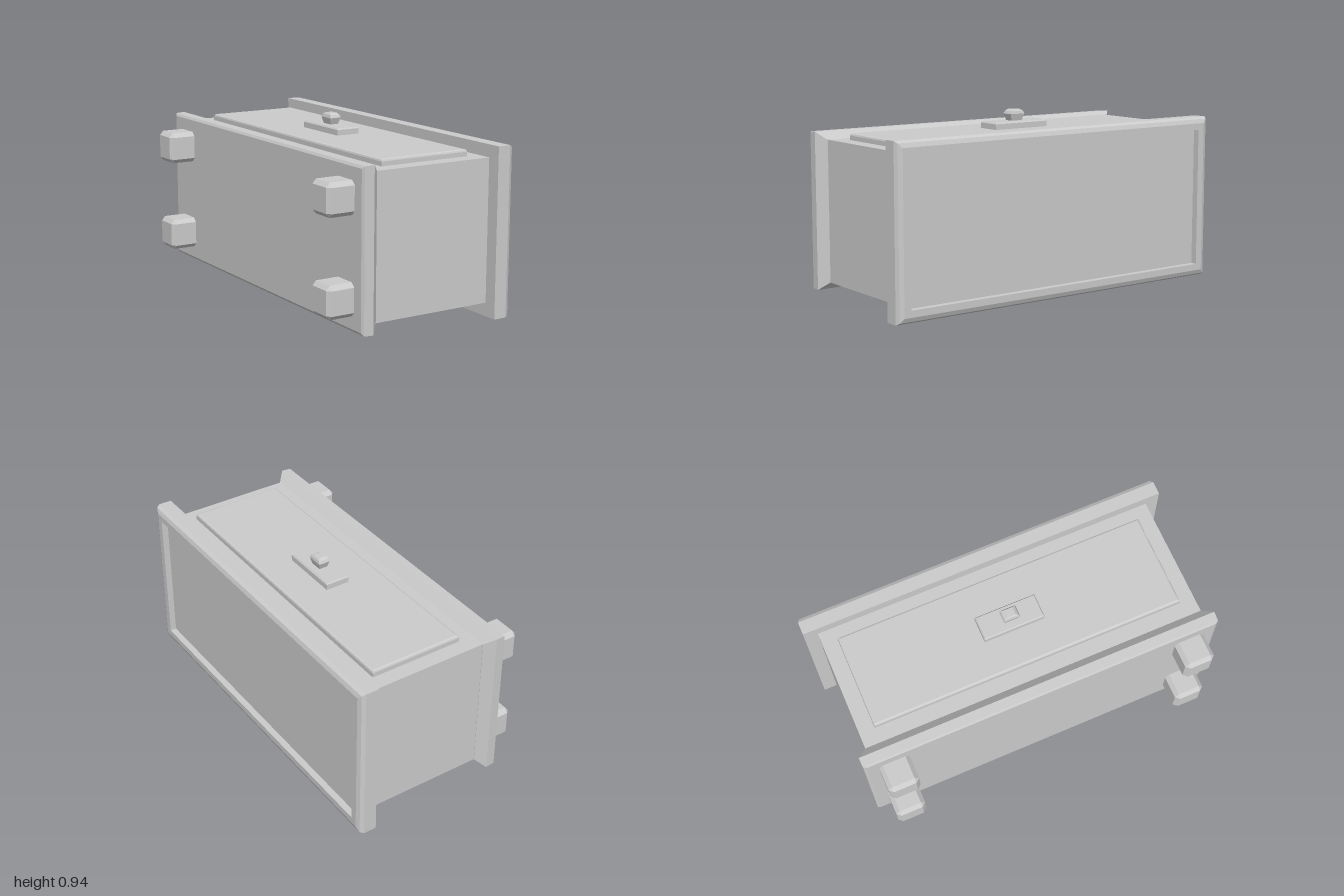
import * as THREE from 'three';

const material = new THREE.MeshStandardMaterial({ color: 0xcccccc, flatShading: true });

// Solid through rectangular rings [height, halfX, halfZ, cornerCut], capped at both ends.
function loft(rings) {
  const positions = [];
  const loops = rings.map(([h, a, b, c = 0]) => [
    [a, h, b - c], [a, h, c - b], [a - c, h, -b], [c - a, h, -b],
    [-a, h, c - b], [-a, h, b - c], [c - a, h, b], [a - c, h, b],
  ]);
  const tri = (...points) => points.forEach((p) => positions.push(...p));
  for (let r = 0; r < loops.length - 1; r++) {
    const low = loops[r], high = loops[r + 1];
    for (let i = 0; i < 8; i++) {
      const j = (i + 1) % 8;
      // skip the zero-width strips of uncut corners
      if (!rings[r][3] && !rings[r + 1][3] && i % 2 === 1) continue;
      tri(low[i], low[j], high[j]);
      tri(low[i], high[j], high[i]);
    }
  }
  const bottom = loops[0], top = loops[loops.length - 1];
  for (let i = 1; i < 7; i++) {
    tri(bottom[0], bottom[i + 1], bottom[i]);
    tri(top[0], top[i], top[i + 1]);
  }
  const geometry = new THREE.BufferGeometry();
  geometry.setAttribute('position', new THREE.Float32BufferAttribute(positions, 3));
  geometry.computeVertexNormals();
  return geometry;
}

export function createModel() {
  const model = new THREE.Group();

  const add = (name, rings, x, y, z, sideways) => {
    const mesh = new THREE.Mesh(loft(rings), material);
    mesh.name = name;
    mesh.position.set(x, y, z);
    if (sideways) mesh.rotation.z = -Math.PI / 2; // ring heights run along x
    model.add(mesh);
  };

  // Cabinet lying on its back: base towards -x, top towards +x, door upwards
  add('body', [[-0.27, 0.37, 0.928], [0.41, 0.37, 0.928]], 0, 0.44, 0, true);

  add('basePlinth', [
    [-0.364, 0.395, 0.958], [-0.356, 0.408, 0.974], [-0.305, 0.41, 0.977], [-0.26, 0.37, 0.93],
  ], 0, 0.44, 0, true);

  // Rounded top frame, its rim turning inwards to a sunken panel
  add('topFrame', [
    [0.406, 0.4375, 1], [0.477, 0.4375, 1], [0.496, 0.427, 0.99], [0.505, 0.405, 0.968],
    [0.505, 0.37, 0.93], [0.47, 0.37, 0.93],
  ], 0, 0.4375, 0, true);

  // Four chamfered feet
  for (const y of [0.1925, 0.686]) {
    for (const z of [-0.818, 0.818]) {
      add('foot', [
        [-0.508, 0.062, 0.06, 0.001], [-0.488, 0.084, 0.082, 0.022], [-0.36, 0.084, 0.082, 0.022],
      ], 0, y, z, true);
    }
  }

  // Door with its handle
  add('doorPanel', [
    [0.8, 0.256, 0.846], [0.833, 0.256, 0.846], [0.841, 0.253, 0.843], [0.845, 0.245, 0.835],
  ], 0.077, 0, 0);
  add('handlePlate', [
    [0.84, 0.066, 0.166], [0.874, 0.066, 0.166], [0.882, 0.06, 0.16],
  ], 0.076, 0, 0);
  add('knob', [
    [0.88, 0.023, 0.032], [0.917, 0.032, 0.045], [0.932, 0.028, 0.038], [0.941, 0.021, 0.024],
  ], 0.076, 0, 0);

  return model;
}
